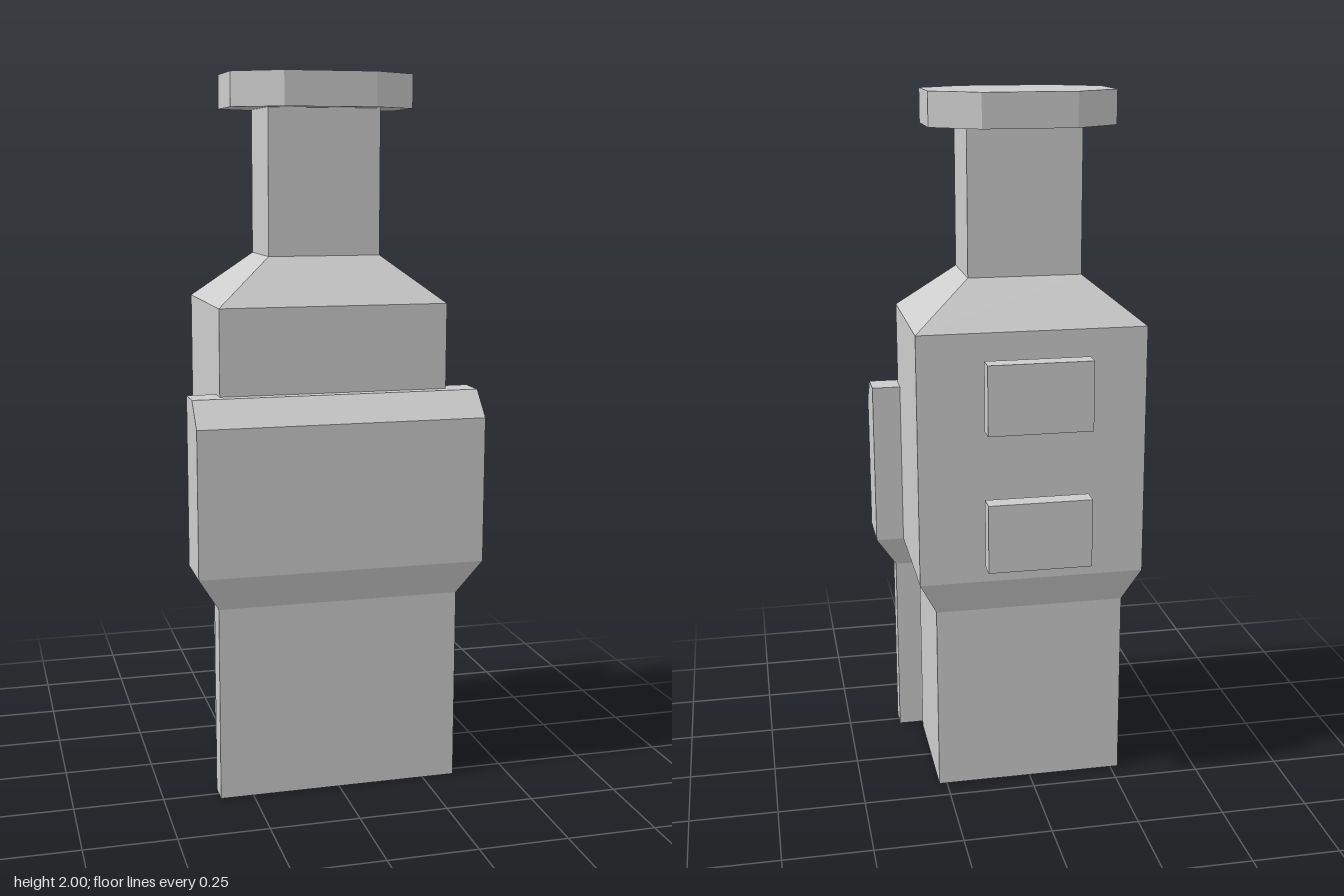
import * as THREE from 'three';

// Rectangular cross-section, counter-clockwise from above
const rect = (y, x, back, front) => [[-x, y, front], [x, y, front], [x, y, back], [-x, y, back]];

// Rectangular cross-section with cut corners
const octagon = (y, x, back, front, cx, cBack, cFront) => [
  [-cx, y, front], [cx, y, front], [x, y, cFront], [x, y, cBack],
  [cx, y, back], [-cx, y, back], [-x, y, cBack], [-x, y, cFront],
];

// Closed flat-faced solid through cross-sections listed from bottom to top
function loft(rings) {
  const pos = [];
  const tri = (a, b, c) => pos.push(...a, ...b, ...c);
  const n = rings[0].length;
  for (let r = 0; r < rings.length - 1; r++) {
    const lo = rings[r], hi = rings[r + 1];
    for (let i = 0; i < n; i++) {
      const j = (i + 1) % n;
      tri(lo[i], lo[j], hi[j]);
      tri(lo[i], hi[j], hi[i]);
    }
  }
  const bottom = rings[0], top = rings[rings.length - 1];
  for (let i = 1; i < n - 1; i++) {
    tri(bottom[0], bottom[i + 1], bottom[i]);
    tri(top[0], top[i], top[i + 1]);
  }
  const geometry = new THREE.BufferGeometry();
  geometry.setAttribute('position', new THREE.Float32BufferAttribute(pos, 3));
  geometry.computeVertexNormals();
  return geometry;
}

export function createModel() {
  const model = new THREE.Group();
  const grey = new THREE.MeshStandardMaterial({ color: 0xcccccc });
  grey.name = 'light grey';

  const add = (name, geometry, parent = model) => {
    const mesh = new THREE.Mesh(geometry, grey);
    mesh.name = name;
    parent.add(mesh);
    return mesh;
  };

  // Main body with narrow base, sloping shoulders and neck
  add('body', loft([
    rect(0, 0.273, -0.183, 0.192),
    rect(0.55, 0.273, -0.183, 0.192),
    rect(0.65, 0.323, -0.22, 0.227),
    rect(1.37, 0.323, -0.22, 0.227),
    rect(1.5, 0.16, -0.105, 0.112),
    rect(1.91, 0.16, -0.105, 0.112),
  ]));

  // Eight-sided cap on the neck
  add('cap', loft([1.905, 2].map((y) => octagon(y, 0.26, -0.175, 0.182, 0.13, -0.085, 0.092))));

  // Front panel, thick above and thin below, with a bevelled top edge
  add('frontPanel', loft([
    rect(0, 0.343, 0.218, 0.284),
    rect(0.55, 0.343, 0.218, 0.284),
    rect(0.65, 0.405, 0.172, 0.329),
    rect(1.06, 0.405, 0.172, 0.329),
    rect(1.13, 0.405, 0.172, 0.26),
  ]));

  // Two mounting lugs on the back, each a stem with a wider plate
  [['lowerLug', 0.816], ['upperLug', 1.208]].forEach(([name, y]) => {
    const lug = new THREE.Group();
    lug.name = name;
    lug.position.y = y;
    add('lugStem', loft([rect(-0.061, 0.09, -0.279, -0.21), rect(0.061, 0.09, -0.279, -0.21)]), lug);
    add('lugPlate', loft([rect(-0.098, 0.146, -0.331, -0.278), rect(0.098, 0.146, -0.331, -0.278)]), lug);
    model.add(lug);
  });

  return model;
}
